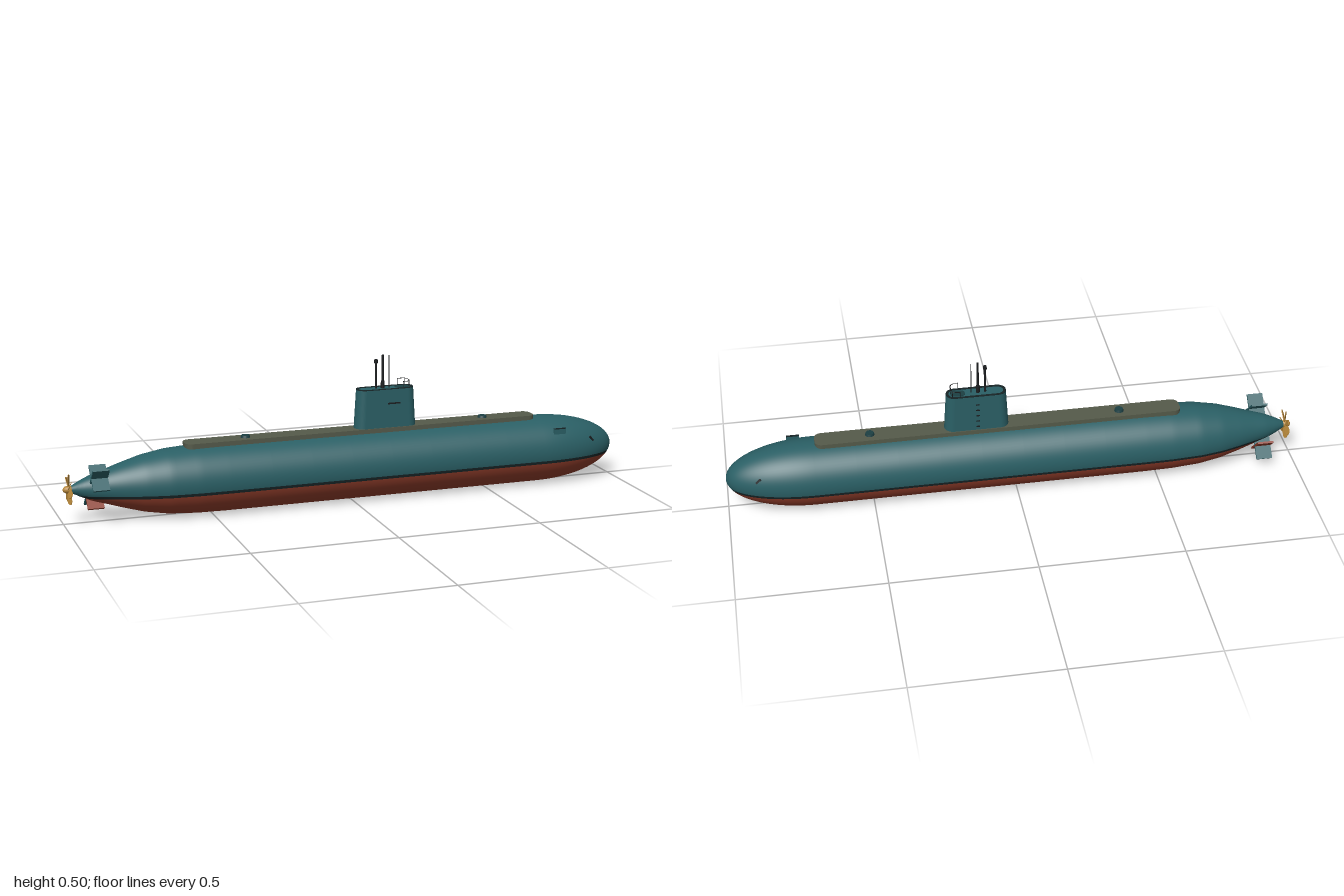
import * as THREE from 'three';

const mat = (name, color, side = THREE.FrontSide) => {
  const m = new THREE.MeshStandardMaterial({ color, side });
  m.name = name;
  return m;
};

export function createModel() {
  const teal = mat('teal paint', 0x2a5f65);
  const red = mat('antifouling red', 0x8c3b29);
  const dark = mat('waterline black', 0x172426);
  const deckGrey = mat('deck grey', 0x555a4a);
  const hatchTeal = mat('dark teal', 0x1c3f43);
  const black = mat('mast black', 0x1b1d1f);
  const brass = mat('propeller brass', 0xb5863a, THREE.DoubleSide);

  const root = new THREE.Group();
  root.name = 'submarine';
  const add = (name, geo, material, x = 0, y = 0, z = 0, parent = root) => {
    const m = new THREE.Mesh(geo, material);
    m.name = name;
    m.position.set(x, y, z);
    parent.add(m);
    return m;
  };
  const box = (name, w, h, d, material, x, y, z, parent) =>
    add(name, new THREE.BoxGeometry(w, h, d), material, x, y, z, parent);
  const rod = (name, r, y0, y1, material, x, z) =>
    add(name, new THREE.CylinderGeometry(r, r, y1 - y0, 12), material, x, (y0 + y1) / 2, z);

  // Hull: round sections along x, split by height into paint bands
  const CY = 0.118, R = 0.118;
  const stern = [[-0.97, 0.012], [-0.94, 0.028], [-0.9, 0.045], [-0.85, 0.06],
    [-0.8, 0.076], [-0.73, 0.096], [-0.65, 0.11], [-0.55, 0.1165], [-0.45, R]];
  const radius = (x) => {
    if (x > 0.7) return R * Math.sqrt(Math.max(0, 1 - ((x - 0.7) / 0.3) ** 2));
    if (x >= -0.45) return R;
    const k = Math.max(0, stern.findIndex((p) => p[0] > x) - 1);
    const [a, b] = [stern[k], stern[k + 1]];
    return a[1] + (b[1] - a[1]) * (x - a[0]) / (b[0] - a[0]);
  };
  const stations = [];
  for (let i = 0; i < 40; i++) stations.push(-0.97 + 0.52 * i / 40);
  for (let i = 0; i < 8; i++) stations.push(-0.45 + 1.15 * i / 8);
  for (let i = 0; i <= 24; i++) stations.push(0.7 + 0.3 * Math.sin(i / 24 * Math.PI / 2));
  const waterAngle = (y, r) => Math.asin(Math.max(-1, Math.min(1, (y - CY) / Math.max(r, 1e-4))));
  const hullBand = (name, material, from, to, n) => {
    const pos = [], nor = [], idx = [];
    stations.forEach((x, i) => {
      const r = radius(x), e = 0.012;
      const x0 = Math.max(-0.97, x - e), x1 = Math.min(1, x + e);
      const slope = (radius(x1) - radius(x0)) / (x1 - x0);
      const a = from(r), b = to(r);
      for (let j = 0; j <= n; j++) {
        const t = a + (b - a) * j / n;
        pos.push(x, CY + r * Math.sin(t), r * Math.cos(t));
        const v = r < 1e-4 ? new THREE.Vector3(1, 0, 0)
          : new THREE.Vector3(-slope, Math.sin(t), Math.cos(t)).normalize();
        nor.push(v.x, v.y, v.z);
        if (i && j) {
          const q = i * (n + 1) + j, p = q - n - 1;
          idx.push(p - 1, q - 1, q, p - 1, q, p);
        }
      }
    });
    const g = new THREE.BufferGeometry();
    g.setAttribute('position', new THREE.Float32BufferAttribute(pos, 3));
    g.setAttribute('normal', new THREE.Float32BufferAttribute(nor, 3));
    g.setIndex(idx);
    add(name, g, material);
  };
  const top = (r) => waterAngle(0.096, r), low = (r) => waterAngle(0.086, r);
  hullBand('upperHull', teal, top, (r) => Math.PI - top(r), 40);
  hullBand('lowerHull', red, (r) => Math.PI - low(r), (r) => 2 * Math.PI + low(r), 36);
  hullBand('waterlineFront', dark, low, top, 2);
  hullBand('waterlineBack', dark, (r) => Math.PI - top(r), (r) => Math.PI - low(r), 2);

  // Rounded slab lying flat, used for deck and sail
  const roundedOutline = (x0, x1, w, c) => {
    const s = new THREE.Shape();
    s.moveTo(x0 + c, -w).lineTo(x1 - c, -w);
    s.absarc(x1 - c, -w + c, c, -Math.PI / 2, 0).lineTo(x1, w - c);
    s.absarc(x1 - c, w - c, c, 0, Math.PI / 2).lineTo(x0 + c, w);
    s.absarc(x0 + c, w - c, c, Math.PI / 2, Math.PI).lineTo(x0, -w + c);
    s.absarc(x0 + c, -w + c, c, Math.PI, Math.PI * 1.5);
    return s;
  };
  const slab = (shape, h) => new THREE.ExtrudeGeometry(shape,
    { depth: h, bevelEnabled: false, curveSegments: 12 }).rotateX(-Math.PI / 2);
  add('deck', slab(roundedOutline(-0.585, 0.69, 0.036, 0.025), 0.03), deckGrey, 0, 0.216, 0);
  for (const x of [-0.37, 0.5]) {
    add('hatch', new THREE.CylinderGeometry(0.014, 0.017, 0.01, 20), hatchTeal, x, 0.249, 0);
  }

  // Sail, narrowing slightly towards the top
  const sail = slab(roundedOutline(-0.112, 0.112, 0.033, 0.032), 0.145);
  const p = sail.attributes.position;
  for (let i = 0; i < p.count; i++) {
    const k = 1 - 0.08 * p.getY(i) / 0.145;
    p.setX(i, p.getX(i) * k);
    p.setZ(i, p.getZ(i) * k);
  }
  sail.computeVertexNormals();
  add('sail', sail, teal, 0.132, 0.235, 0);
  const rim = roundedOutline(-0.103, 0.103, 0.03, 0.029);
  rim.holes.push(roundedOutline(-0.094, 0.094, 0.022, 0.021));
  add('sailRim', slab(rim, 0.004), dark, 0.132, 0.378, 0);
  add('bridgeWell', slab(roundedOutline(-0.025, 0.025, 0.016, 0.014), 0.003), hatchTeal, 0.195, 0.379, 0);
  box('sailStep', 0.045, 0.005, 0.004, black, 0.155, 0.331, 0.0315);
  for (let i = 0; i < 5; i++) {
    box('ladderRung', 0.012, 0.004, 0.004, black, 0.13, 0.26 + i * 0.022, -0.0325 + i * 0.0004);
  }

  // Masts
  rod('snorkelMast', 0.004, 0.37, 0.478, black, 0.1, 0);
  rod('snorkelHead', 0.0065, 0.47, 0.482, black, 0.1, 0);
  rod('periscope', 0.004, 0.37, 0.497, black, 0.125, 0);
  rod('periscopeBase', 0.007, 0.375, 0.405, black, 0.125, 0);
  rod('antenna', 0.0015, 0.37, 0.495, black, 0.148, 0);

  // Bridge railing
  const corners = [[0.19, 0.029], [0.215, 0.022], [0.22, 0], [0.215, -0.022], [0.19, -0.029]];
  corners.forEach(([x, z]) => rod('railPost', 0.001, 0.376, 0.405, black, x, z));
  const railPath = new THREE.CatmullRomCurve3(corners.map(([x, z]) => new THREE.Vector3(x, 0.404, z)));
  add('railTop', new THREE.TubeGeometry(railPath, 24, 0.001, 6), black);

  // Bow fittings
  box('bowPlate', 0.045, 0.02, 0.005, teal, 0.76, 0.195, 0.093);
  box('bowPlateEdge', 0.045, 0.003, 0.006, dark, 0.76, 0.205, 0.093);
  for (const s of [1, -1]) {
    const port = box('bowPort', 0.022, 0.007, 0.006, black, 0.89, 0.155, s * 0.0825);
    port.rotation.set(-s * 0.43, s * 0.45, -0.7);
  }

  // Stern fins: crossed plates above one side and below the other
  for (const s of [1, -1]) {
    const fins = new THREE.Group();
    fins.name = s > 0 ? 'upperSternFins' : 'lowerSternFins';
    fins.position.set(-0.885, CY + s * 0.045, s * 0.052);
    root.add(fins);
    box('radialFin', 0.056, 0.1, 0.007, teal, 0, 0, 0, fins).rotation.x = Math.PI / 4;
    box('crossFin', 0.056, 0.1, 0.007, s > 0 ? teal : red, 0, 0, 0, fins).rotation.x = -Math.PI / 4;
  }

  // Propeller
  const propeller = new THREE.Group();
  propeller.name = 'propeller';
  propeller.position.set(-0.978, CY, 0);
  root.add(propeller);
  const hub = add('propellerHub', new THREE.SphereGeometry(0.013, 20, 14), brass, 0, 0, 0, propeller);
  hub.scale.x = 1.6;
  const blade = new THREE.Shape();
  blade.moveTo(-0.004, 0.006);
  blade.bezierCurveTo(-0.018, 0.03, -0.012, 0.052, 0.002, 0.052);
  blade.bezierCurveTo(0.014, 0.05, 0.012, 0.025, 0.004, 0.006);
  const bladeGeo = new THREE.ExtrudeGeometry(blade, { depth: 0.002, bevelEnabled: false, curveSegments: 8 })
    .translate(0, 0, -0.001).rotateY(Math.PI / 2 - 0.5);
  for (let i = 0; i < 7; i++) {
    add('propellerBlade', bladeGeo, brass, 0, 0, 0, propeller).rotation.x = i * Math.PI * 2 / 7;
  }
  return root;
}
